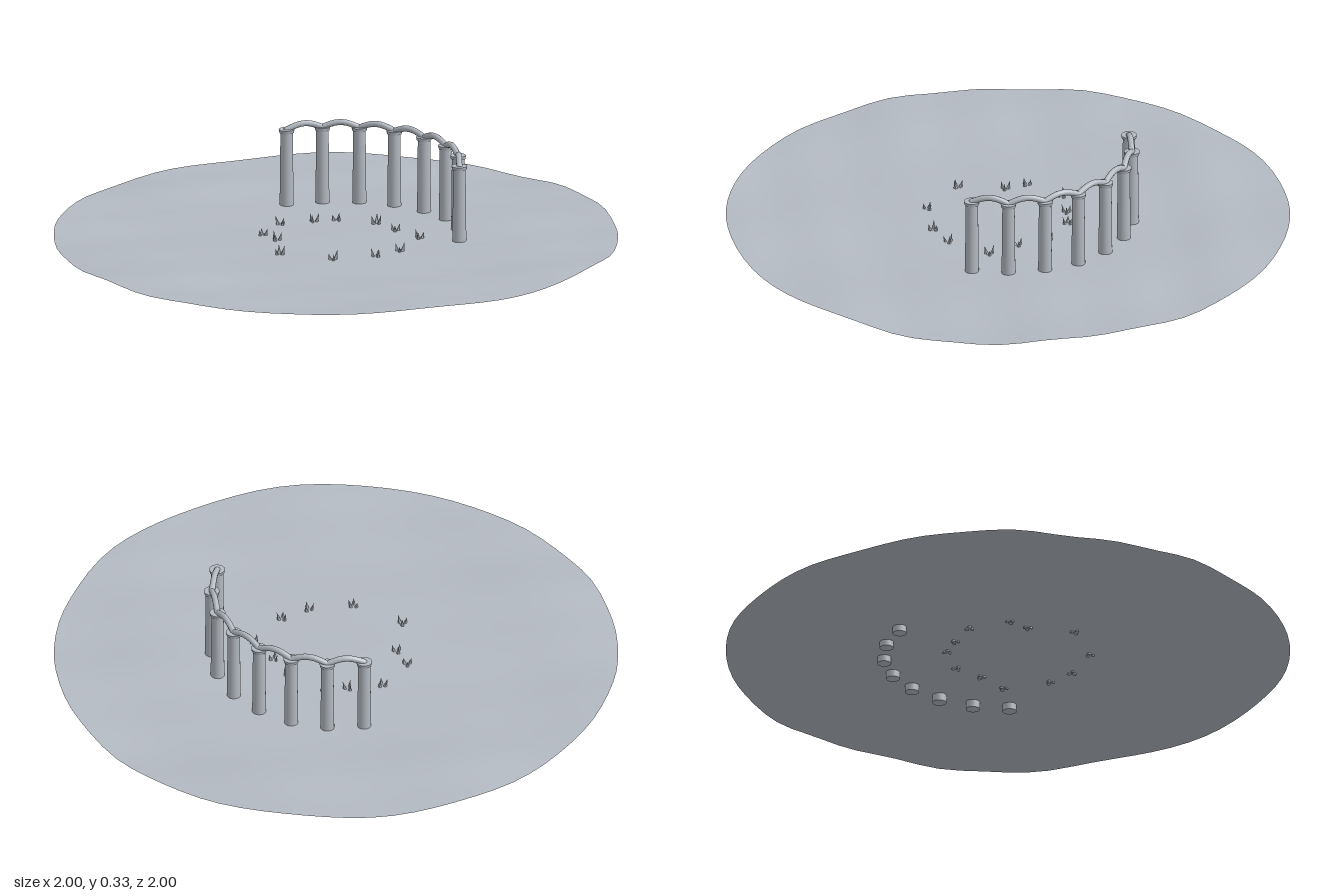
import * as THREE from 'three';
import { mergeVertices } from 'three/addons/utils/BufferGeometryUtils.js';

const stone = new THREE.MeshStandardMaterial({ color: 0xb4bac2 });
stone.name = 'pale grey stone';
const ground = new THREE.MeshStandardMaterial({ color: 0xb4bac2, side: THREE.DoubleSide });
ground.name = 'pale grey ground';

// gentle swells, calm in the middle and stronger towards the rim
function groundHeight(x, z) {
  const r = Math.hypot(x, z);
  const amp = 0.003 + 0.008 * THREE.MathUtils.smoothstep(r, 0.35, 0.9);
  const wave = 0.5 * Math.sin(7 * x + 3 * z + 1) + 0.45 * Math.sin(9 * z - 4 * x)
    + 0.3 * Math.sin(15 * x + 11 * z + 2);
  return 0.024 + 0.007 * THREE.MathUtils.smoothstep(r, 0.3, 0.8) + amp * wave;
}

// small repeatable random sequence
function seeded(seed) {
  return () => {
    seed = (seed * 16807) % 2147483647;
    return seed / 2147483647;
  };
}

function makeMesh(name, geometry, material) {
  const mesh = new THREE.Mesh(geometry, material);
  mesh.name = name;
  return mesh;
}

function makeGround() {
  let geo = new THREE.RingGeometry(0, 1, 80, 28);
  geo.rotateX(-Math.PI / 2);
  const p = geo.attributes.position;
  for (let i = 0; i < p.count; i++) p.setY(i, groundHeight(p.getX(i), p.getZ(i)));
  geo.deleteAttribute('uv');
  geo.deleteAttribute('normal');
  geo = mergeVertices(geo);
  geo.computeVertexNormals();
  return makeMesh('ground', geo, ground);
}

// a half circle of pillars joined by little arches
function makeColonnade() {
  const group = new THREE.Group();
  group.name = 'colonnade';
  const count = 8, radius = 0.44, top = 0.3;
  const spots = [];
  for (let i = 0; i < count; i++) {
    const a = THREE.MathUtils.degToRad(-60 + (120 * i) / (count - 1));
    spots.push(new THREE.Vector3(radius * Math.sin(a), top, -radius * Math.cos(a)));
  }

  const shaft = new THREE.CylinderGeometry(0.022, 0.025, 0.29, 20);
  const cap = new THREE.CylinderGeometry(0.028, 0.026, 0.012, 20);
  spots.forEach((s) => {
    const pillar = new THREE.Group();
    pillar.name = 'pillar';
    const body = makeMesh('pillarShaft', shaft, stone);
    body.position.y = 0.145;
    const head = makeMesh('pillarCap', cap, stone);
    head.position.y = 0.296;
    pillar.add(body, head);
    pillar.position.set(s.x, 0, s.z);
    group.add(pillar);
  });

  for (let i = 0; i < count - 1; i++) {
    const points = [];
    for (let k = 0; k <= 8; k++) {
      const point = spots[i].clone().lerp(spots[i + 1], k / 8);
      point.y += 0.019 * Math.sin((Math.PI * k) / 8);
      points.push(point);
    }
    const curve = new THREE.CatmullRomCurve3(points);
    group.add(makeMesh('arch', new THREE.TubeGeometry(curve, 16, 0.011, 10), stone));
  }

  // rounded ends of the arches where they meet on the caps
  const knob = new THREE.SphereGeometry(0.011, 12, 8);
  spots.forEach((s) => {
    const joint = makeMesh('archJoint', knob, stone);
    joint.position.copy(s);
    group.add(joint);
  });
  return group;
}

// a ring of small leaning shards rising from the ground
function makeShards() {
  const group = new THREE.Group();
  group.name = 'shardRing';
  const spots = [
    [0.015, -0.22], [0.125, -0.185], [0.245, -0.165], [0.285, 0.005],
    [0.26, 0.11], [0.165, 0.24], [-0.03, 0.295], [-0.14, 0.165],
    [-0.22, 0.14], [-0.25, -0.01], [-0.18, -0.11], [-0.125, -0.175],
  ];
  const cone = new THREE.ConeGeometry(1, 1, 5).toNonIndexed();
  cone.translate(0, 0.5, 0);
  cone.computeVertexNormals();
  const random = seeded(41);
  spots.forEach(([x, z]) => {
    const cluster = new THREE.Group();
    cluster.name = 'shardCluster';
    const start = random() * Math.PI * 2;
    for (let i = 0; i < 3; i++) {
      const a = start + (i * Math.PI * 2) / 3;
      const shard = makeMesh('shard', cone, stone);
      const width = 0.006 + 0.003 * random();
      shard.scale.set(width, 0.026 + 0.016 * random(), width);
      shard.position.set(0.01 * Math.cos(a), -0.005, 0.01 * Math.sin(a));
      shard.rotation.set(0.25 * Math.sin(a), 0, -0.25 * Math.cos(a));
      cluster.add(shard);
    }
    cluster.position.set(x, groundHeight(x, z), z);
    group.add(cluster);
  });
  return group;
}

export function createModel() {
  const model = new THREE.Group();
  model.name = 'stoneRing';
  model.add(makeGround(), makeColonnade(), makeShards());
  return model;
}
